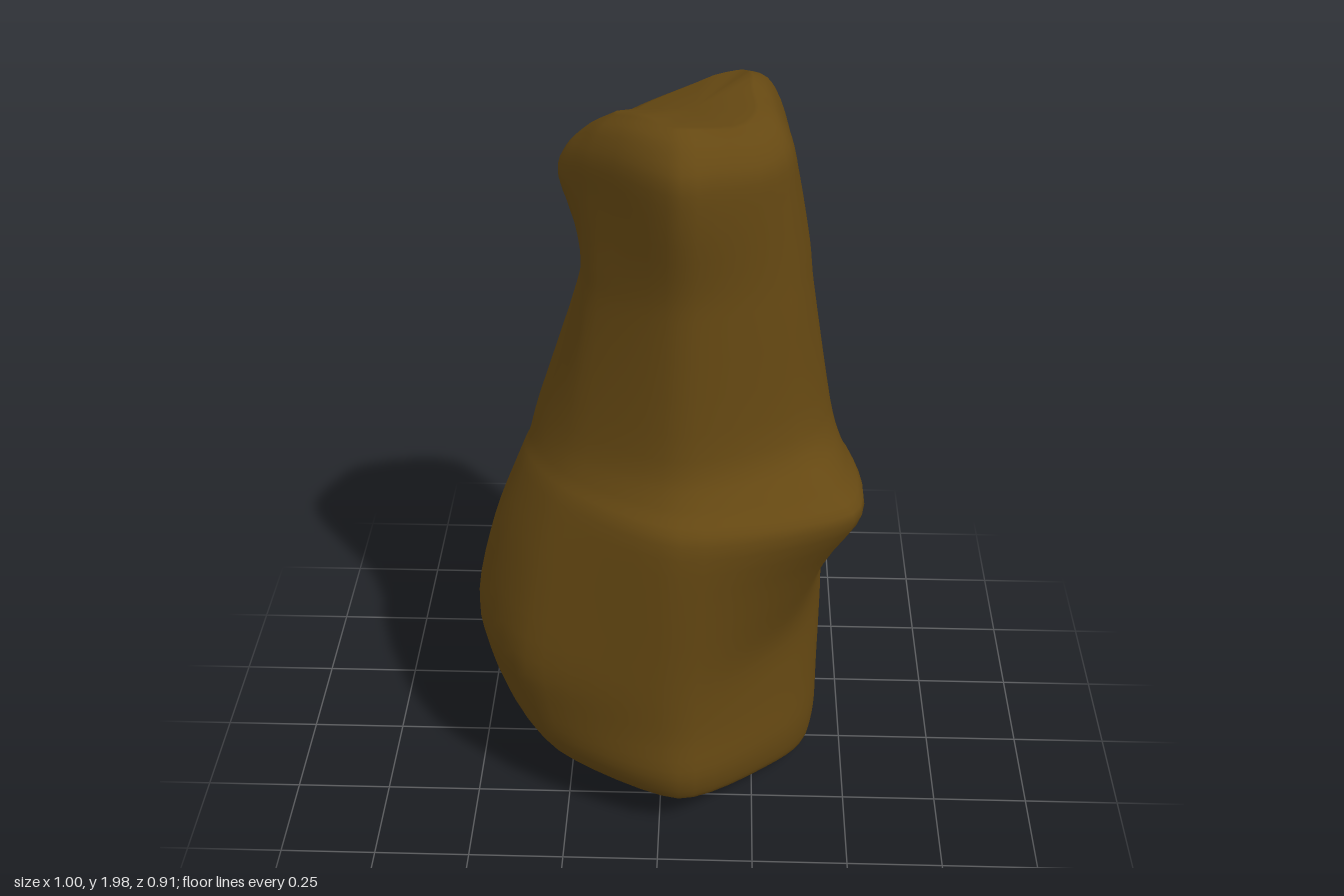
import * as THREE from 'three';

// Directions of the section corners in degrees, from +x toward +z
const angles = [0, 33, 88, 143, 180, 228, 272, 315];

// Each row: height, then the radius in each direction
const sections = [
  [0.06, 0.30, 0.25, 0.30, 0.30, 0.30, 0.32, 0.28, 0.32],
  [0.10, 0.36, 0.31, 0.37, 0.38, 0.39, 0.42, 0.38, 0.42],
  [0.20, 0.38, 0.33, 0.40, 0.43, 0.46, 0.50, 0.45, 0.46],
  [0.35, 0.38, 0.32, 0.39, 0.46, 0.51, 0.56, 0.485, 0.485],
  [0.55, 0.38, 0.325, 0.395, 0.48, 0.535, 0.58, 0.485, 0.49],
  [0.80, 0.385, 0.42, 0.41, 0.43, 0.48, 0.49, 0.40, 0.43],
  [0.99, 0.435, 0.52, 0.405, 0.37, 0.41, 0.43, 0.325, 0.37], // ledge
  [1.06, 0.41, 0.45, 0.35, 0.335, 0.38, 0.40, 0.315, 0.36],
  [1.17, 0.38, 0.355, 0.305, 0.305, 0.35, 0.37, 0.30, 0.345],
  [1.50, 0.325, 0.32, 0.295, 0.265, 0.245, 0.27, 0.24, 0.32],
  [1.62, 0.31, 0.31, 0.30, 0.26, 0.23, 0.25, 0.255, 0.315], // notch
  [1.78, 0.28, 0.30, 0.33, 0.255, 0.285, 0.305, 0.27, 0.31],
  [1.90, 0.25, 0.29, 0.335, 0.25, 0.26, 0.28, 0.25, 0.30],
  [1.97, 0.21, 0.25, 0.29, 0.22, 0.20, 0.22, 0.20, 0.26],
  [2.00, 0.16, 0.19, 0.24, 0.17, 0.12, 0.14, 0.13, 0.20],
];
const CX = 0.04, CZ = 0.04, STEPS = 4, SUB = 6, SIDES = angles.length * SUB;

// Cardinal spline from b to c; a smaller tension gives straighter spans
function spline(a, b, c, d, t, tension) {
  const m0 = (c - a) * tension, m1 = (d - b) * tension;
  return b + m0 * t + (3 * (c - b) - 2 * m0 - m1) * t * t + (2 * (b - c) + m0 + m1) * t * t * t;
}

// Interpolated section row at a fractional row index
function sectionAt(s) {
  const last = sections.length - 1;
  const i = Math.min(Math.floor(s), last - 1);
  const row = (k) => sections[THREE.MathUtils.clamp(k, 0, last)];
  return row(0).map((_, c) => spline(row(i - 1)[c], row(i)[c], row(i + 1)[c], row(i + 2)[c], s - i, 0.45));
}

// Uneven underside, lowest at +x, and a crown that falls away to the back right
function sculptedHeight(x, y, z) {
  const base = Math.max(0, 1 - y / 0.5);
  const crown = THREE.MathUtils.smoothstep(y, 1.75, 2);
  const along = (x + z) * Math.SQRT1_2, across = (x - z) * Math.SQRT1_2;
  const fall = 0.3 * Math.max(0, 0.12 - along) + 0.04 * Math.max(0, 1 - Math.abs(across) / 0.16);
  return y + base * (0.15 * Math.abs(z + 0.05) - 0.16 * x) - crown * fall;
}

function bodyGeometry() {
  const positions = [], index = [];
  const addPoint = (x, y, z) => positions.push(x, sculptedHeight(x, y, z), z);
  const rings = (sections.length - 1) * STEPS + 1;
  for (let r = 0; r < rings; r++) {
    const [y, ...radii] = sectionAt(r / STEPS);
    const corners = radii.map((radius, k) => {
      const a = THREE.MathUtils.degToRad(angles[k]);
      return [CX + radius * Math.cos(a), CZ + radius * Math.sin(a)];
    });
    for (let k = 0; k < SIDES; k++) {
      const i = Math.floor(k / SUB);
      const [p, q, s, u] = [7, 0, 1, 2].map((n) => corners[(i + n) % 8]);
      const [x, z] = [0, 1].map((c) => spline(p[c], q[c], s[c], u[c], (k % SUB) / SUB, 0.38));
      addPoint(x, y, z);
    }
  }
  for (let r = 0; r < rings - 1; r++) {
    for (let k = 0; k < SIDES; k++) {
      const a = r * SIDES + k, b = r * SIDES + ((k + 1) % SIDES);
      index.push(a, a + SIDES, b, b, a + SIDES, b + SIDES);
    }
  }
  // closing caps
  const bottom = positions.length / 3, top = bottom + 1, rim = (rings - 1) * SIDES;
  addPoint(CX, 0.06, CZ);
  addPoint(CX + 0.03, 2, CZ + 0.03);
  for (let k = 0; k < SIDES; k++) {
    const n = (k + 1) % SIDES;
    index.push(bottom, k, n, top, rim + n, rim + k);
  }
  const geometry = new THREE.BufferGeometry();
  geometry.setAttribute('position', new THREE.Float32BufferAttribute(positions, 3));
  geometry.setIndex(index);
  geometry.computeVertexNormals();
  return geometry;
}

export function createModel() {
  const group = new THREE.Group();
  group.name = 'carvedStump';
  const body = new THREE.Mesh(bodyGeometry(), new THREE.MeshStandardMaterial({ color: 0x654812 }));
  body.name = 'body';
  // rest on the ground
  body.geometry.computeBoundingBox();
  body.position.y = -body.geometry.boundingBox.min.y;
  group.add(body);
  return group;
}
